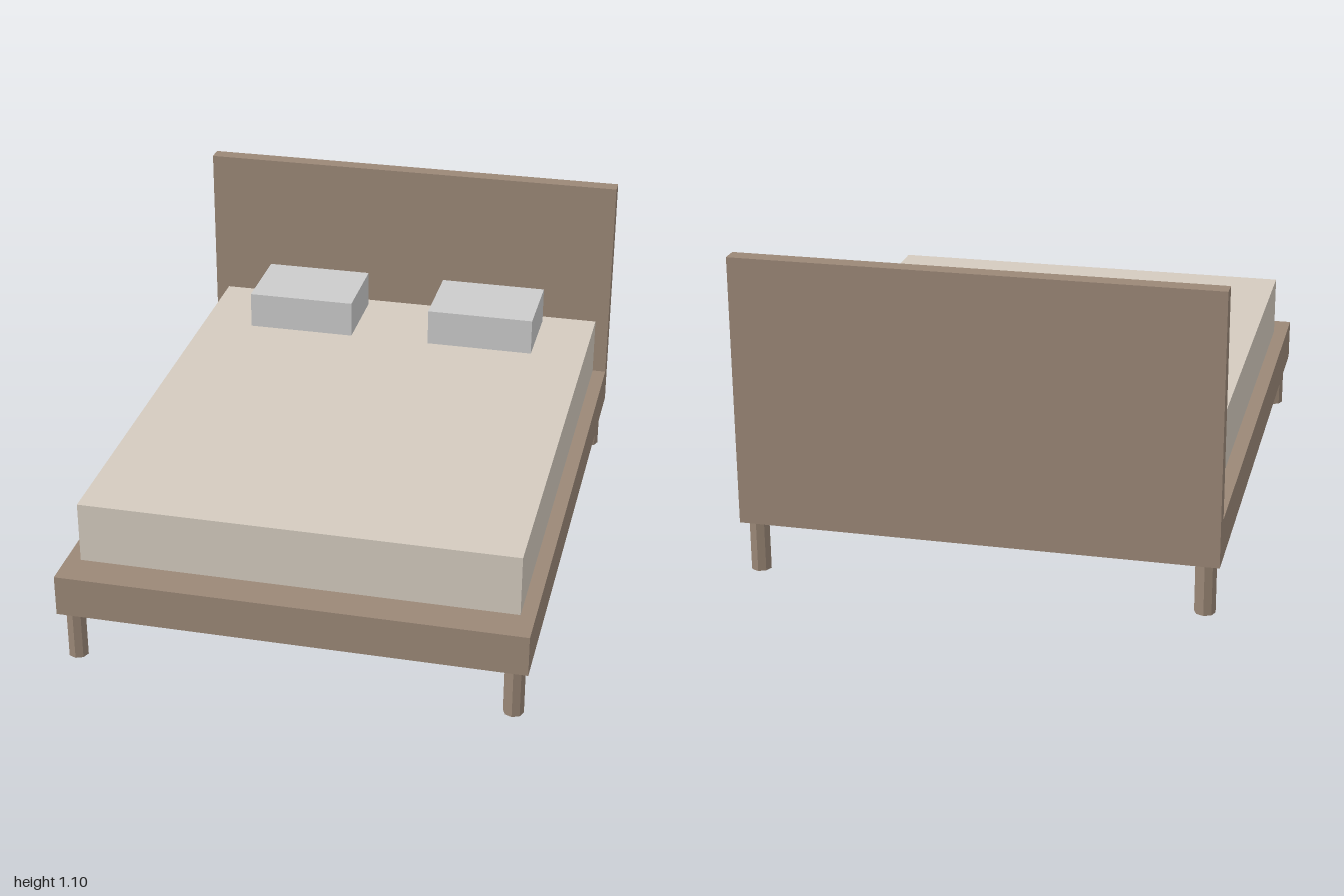
import * as THREE from 'three';

export function createModel() {
  const bed = new THREE.Group();
  bed.name = 'bed';

  const material = (color) => new THREE.MeshStandardMaterial({ color, flatShading: true });
  const wood = material(0x9b8877);
  const fabric = material(0xd4cbbf);
  const linen = material(0xd8d8d4);

  // Box given by its lower and upper corners
  function addBox(name, mat, [x0, y0, z0], [x1, y1, z1]) {
    const mesh = new THREE.Mesh(new THREE.BoxGeometry(x1 - x0, y1 - y0, z1 - z0), mat);
    mesh.position.set((x0 + x1) / 2, (y0 + y1) / 2, (z0 + z1) / 2);
    mesh.name = name;
    bed.add(mesh);
  }

  // Platform, headboard standing flush on its back edge, and mattress
  addBox('platform', wood, [-0.8, 0.18, -1], [0.8, 0.325, 1]);
  addBox('headboard', wood, [-0.8, 0.325, -1], [0.8, 1.1, -0.943]);
  addBox('mattress', fabric, [-0.75, 0.325, -0.943], [0.75, 0.54, 0.875]);

  // Pillows, hovering slightly above the mattress
  addBox('rightPillow', linen, [-0.55, 0.555, -0.87], [-0.15, 0.69, -0.57]);
  addBox('leftPillow', linen, [0.15, 0.555, -0.87], [0.55, 0.69, -0.57]);

  // Eight-sided legs near the corners
  const legGeometry = new THREE.CylinderGeometry(0.035, 0.035, 0.18, 8);
  for (const [side, x] of [['Left', 0.75], ['Right', -0.75]]) {
    for (const [end, z] of [['front', 0.95], ['back', -0.95]]) {
      const leg = new THREE.Mesh(legGeometry, wood);
      leg.position.set(x, 0.09, z);
      leg.name = `${end}${side}Leg`;
      bed.add(leg);
    }
  }

  return bed;
}
